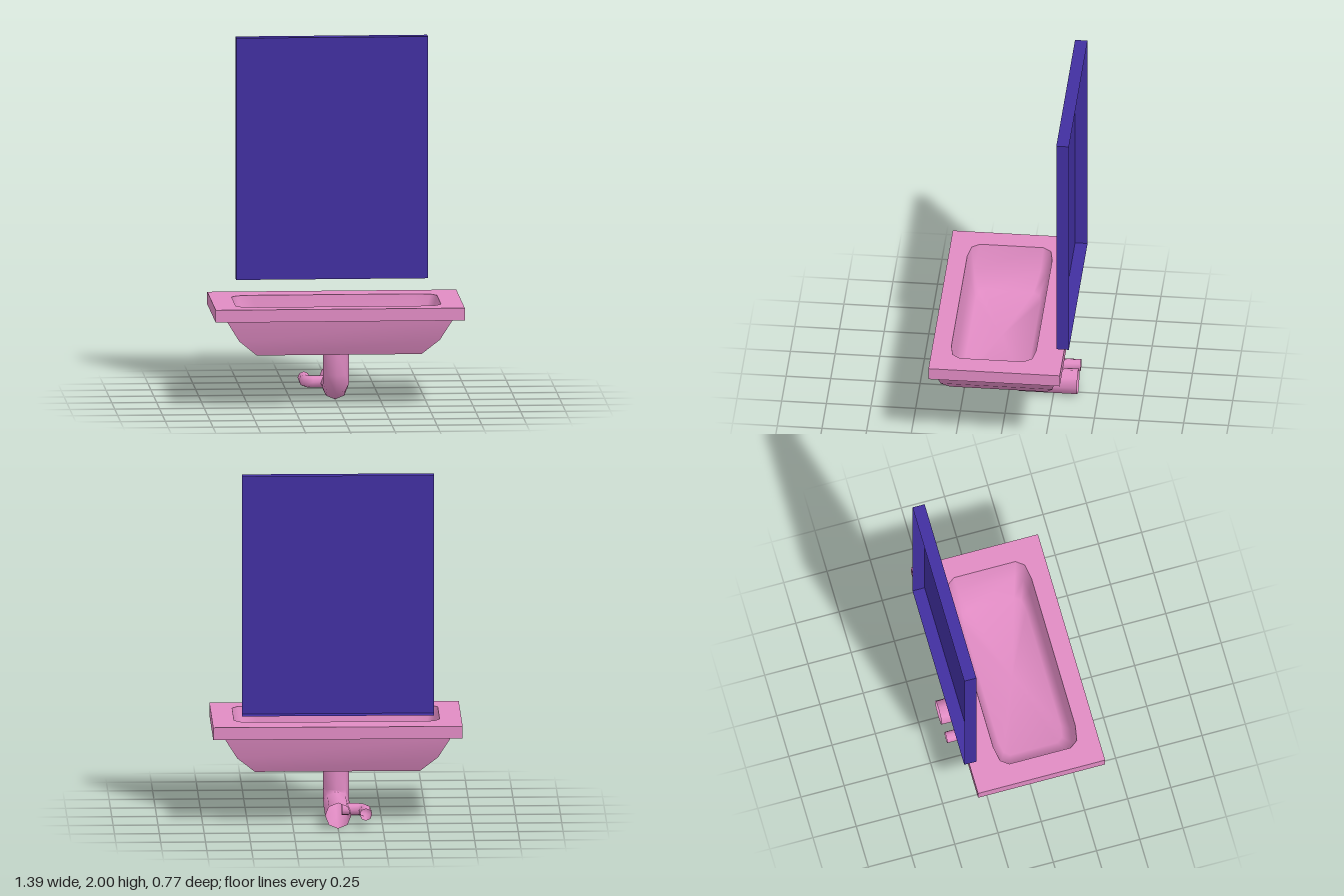
import * as THREE from 'three';
import { toCreasedNormals } from 'three/addons/utils/BufferGeometryUtils.js';

const pink = new THREE.MeshStandardMaterial({ color: 0xe08bc3, side: THREE.DoubleSide });
const blue = new THREE.MeshStandardMaterial({ color: 0x412fa0, side: THREE.DoubleSide });

function part(name, geometry, material) {
  const mesh = new THREE.Mesh(geometry, material);
  mesh.name = name;
  return mesh;
}

// Skin through rings of equal point count; optionally close the last ring
function loft(rings, cap = false) {
  const n = rings[0].length, pos = rings.flat(2), index = [];
  for (let r = 0; r < rings.length - 1; r++) {
    for (let i = 0; i < n; i++) {
      const a = r * n + i, b = r * n + (i + 1) % n;
      index.push(a, b, a + n, b, b + n, a + n);
    }
  }
  if (cap) {
    const last = rings[rings.length - 1], start = (rings.length - 1) * n;
    for (let k = 0; k < 3; k++) pos.push(last.reduce((s, p) => s + p[k], 0) / n);
    for (let i = 0; i < n; i++) index.push(start + i, start + (i + 1) % n, rings.length * n);
  }
  const g = new THREE.BufferGeometry();
  g.setAttribute('position', new THREE.Float32BufferAttribute(pos, 3));
  g.setIndex(index);
  g.computeVertexNormals();
  return g;
}

// Pipe coming down -y and bending to -z, with its corner at the origin
function elbow(r, bend, legDown, legBack, sides = 8) {
  const q = Math.PI / 2;
  const stations = [[legDown, 0, 0]];
  for (const a of [0, q / 2, q]) {
    stations.push([bend - bend * Math.sin(a), -bend + bend * Math.cos(a), a]);
  }
  stations.push([0, -legBack, q]);
  return loft(stations.map(([y, z, a]) => Array.from({ length: sides }, (_, i) => {
    const t = i / sides * Math.PI * 2, s = r * Math.sin(t);
    return [r * Math.cos(t), y - s * Math.sin(a), z + s * Math.cos(a)];
  })));
}

export function createModel() {
  const group = new THREE.Group();

  // Outline of the basin opening, corners cut, as x and z
  const quarter = [[0.573, 0.178], [0.54, 0.222], [0.453, 0.2375]];
  const flip = (sx, sz) => quarter.map(([x, z]) => [sx * x, sz * z]);
  const opening = [
    ...flip(1, 1), ...flip(-1, 1).reverse(), ...flip(-1, -1), ...flip(1, -1).reverse(),
  ];
  const openingZ = 0.0425;

  // Flat rim with the opening
  const slab = new THREE.Shape([
    [-0.695, -0.385], [0.695, -0.385], [0.695, 0.35], [-0.695, 0.35],
  ].map(([x, y]) => new THREE.Vector2(x, y)));
  slab.holes.push(new THREE.Path(opening.map(([x, z]) => new THREE.Vector2(x, -z - openingZ))));
  const rim = new THREE.ExtrudeGeometry(slab, { depth: 0.07, bevelEnabled: false });
  rim.rotateX(-Math.PI / 2).translate(0, 0.5, 0);
  group.add(part('basinRim', rim, pink));

  // Smooth inner bowl: height, x scale, z scale
  const inner = [[0.57, 1, 1], [0.44, 0.93, 0.92], [0.35, 0.78, 0.76]].map(([y, sx, sz]) =>
    opening.map(([x, z]) => [x * sx, y, z * sz + openingZ]));
  group.add(part('basinInside', loft(inner, true), pink));

  // Outer bowl: height, half width, half depth
  const outer = [[0.5, 0.63, 0.34], [0.385, 0.56, 0.313], [0.3, 0.46, 0.272]].map(([y, w, d]) =>
    [[w, d], [w, -d], [-w, -d], [-w, d]].map(([x, z]) => [x, y, z + 0.0175]));
  group.add(part('basinOutside', toCreasedNormals(loft(outer, true), 0.55), pink));

  // Drain pipe and the small side pipe
  const drain = part('drainPipe', elbow(0.0725, 0.08, 0.23, 0.405), pink);
  drain.position.set(0, 0.0725, 0.02);
  const supply = part('sidePipe', elbow(0.034, 0.04, 0.13, 0.165), pink);
  supply.rotation.z = -Math.PI / 2;
  supply.position.set(-0.155, 0.078, -0.22);
  group.add(drain, supply);

  // Mirror panel with turned-back edges, open behind
  const panel = [-0.385, -0.315].map(z =>
    [[-0.535, 0.64], [0.535, 0.64], [0.535, 2], [-0.535, 2]].map(([x, y]) => [x, y, z]));
  group.add(part('mirror', toCreasedNormals(loft(panel, true), 0.5), blue));

  return group;
}
